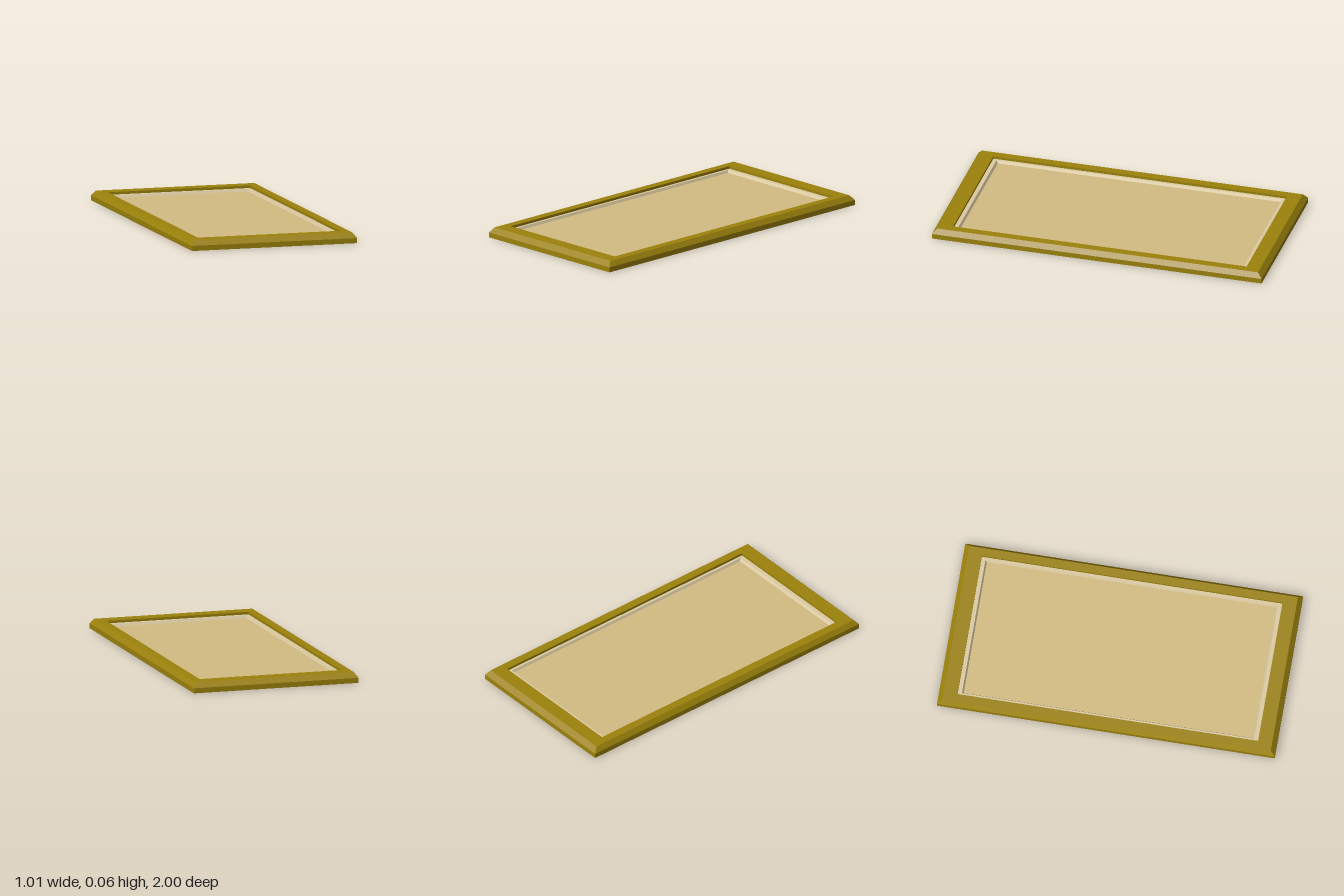
import * as THREE from 'three';

// Sweeps a profile of [halfWidth, y, halfLength] points around a mitred rectangle
function mitredRing(profile, closed) {
  const corners = [[1, 1], [1, -1], [-1, -1], [-1, 1]];
  const at = (p, c) => [p[0] * c[0], p[1], p[2] * c[1]];
  const pos = [];
  const steps = closed ? profile.length : profile.length - 1;
  for (let i = 0; i < steps; i++) {
    const a = profile[i], b = profile[(i + 1) % profile.length];
    for (let k = 0; k < 4; k++) {
      const c = corners[k], d = corners[(k + 1) % 4];
      pos.push(...at(a, c), ...at(a, d), ...at(b, d));
      pos.push(...at(a, c), ...at(b, d), ...at(b, c));
    }
  }
  const geo = new THREE.BufferGeometry();
  geo.setAttribute('position', new THREE.Float32BufferAttribute(pos, 3));
  geo.computeVertexNormals();
  return geo;
}

export function createModel() {
  const model = new THREE.Group();
  model.name = 'pictureFrame';

  const add = (name, geo, color) => {
    const mat = new THREE.MeshStandardMaterial({ color, flatShading: true });
    const mesh = new THREE.Mesh(geo, mat);
    mesh.name = name;
    model.add(mesh);
    return mesh;
  };

  // Bevelled frame with a lip that carries the panel
  add('frame', mitredRing([
    [0.41, 0, 0.855],
    [0.505, 0, 1],
    [0.505, 0.03, 1],
    [0.485, 0.06, 0.973],
    [0.435, 0.06, 0.89],
    [0.435, 0.015, 0.89],
    [0.41, 0.015, 0.855],
  ], true), 0x9c820c);

  // Raised border with a sloped inner edge
  add('matBorder', mitredRing([
    [0.435, 0.015, 0.89],
    [0.435, 0.045, 0.89],
    [0.42, 0.045, 0.866],
    [0.413, 0.03, 0.857],
    [0.413, 0.015, 0.857],
  ], true), 0xdccba2);

  // Recessed flat panel
  const panel = add('panel', new THREE.BoxGeometry(0.828, 0.015, 1.716), 0xd3bb82);
  panel.position.y = 0.0225;

  return model;
}
